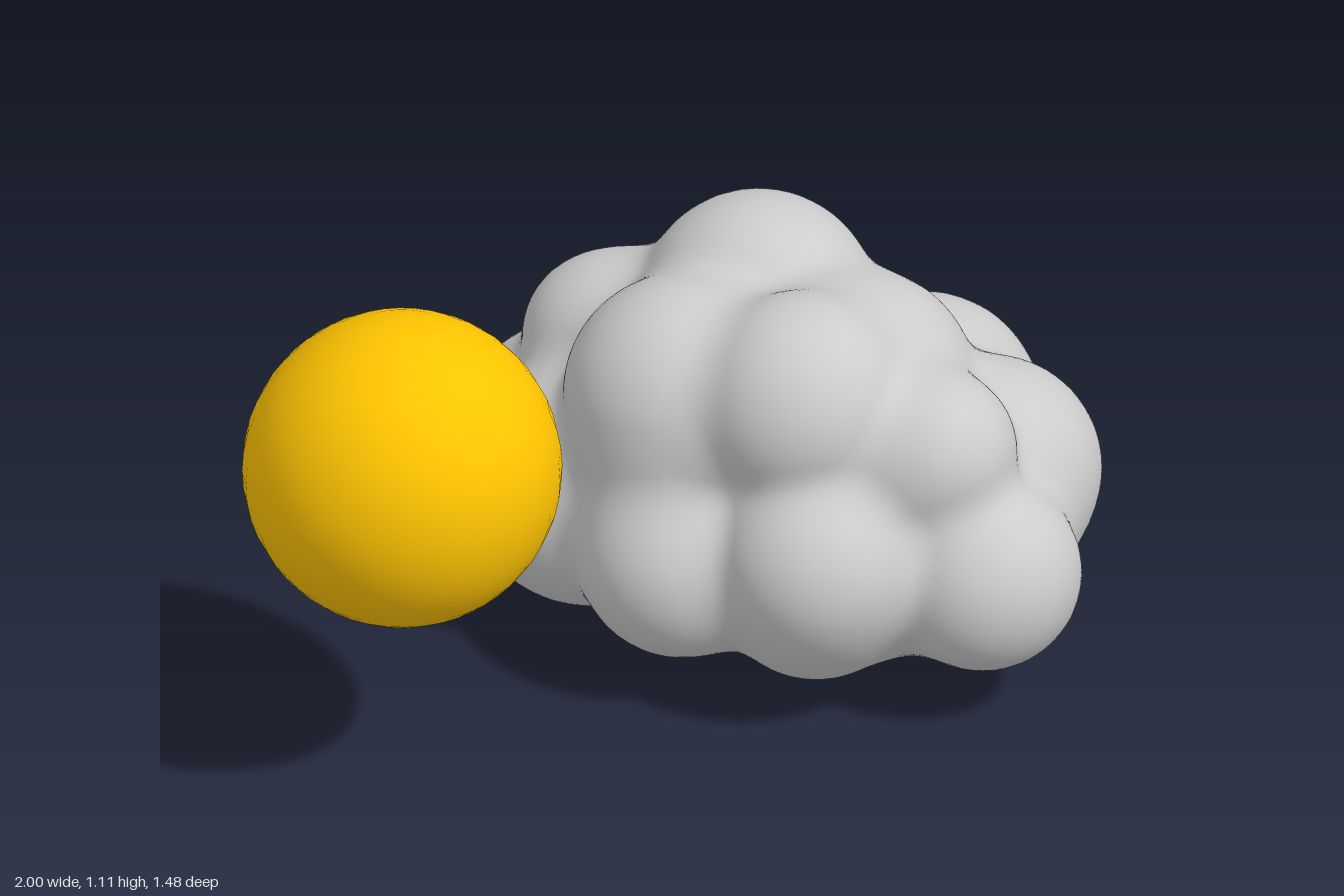
import * as THREE from 'three';

// Cloud puffs: x, y, z, radius
const PUFFS = [
  [0.40, 0.42, 0.00, 0.38],  // inner fill
  [0.47, 0.30, 0.31, 0.235],
  [0.74, 0.30, 0.15, 0.22],
  [0.42, 0.28, -0.28, 0.24],
  [0.30, 0.48, -0.31, 0.255],
  [0.42, 0.49, 0.28, 0.235],
  [0.14, 0.45, -0.03, 0.24],
  [0.62, 0.28, 0.05, 0.245],
  [0.62, 0.30, 0.29, 0.235],
  [0.26, 0.28, 0.28, 0.22],
  [0.56, 0.31, -0.28, 0.25],
  [0.12, 0.29, 0.00, 0.225],
  [0.43, 0.66, -0.17, 0.255], // crown
  [0.28, 0.67, 0.20, 0.235],
  [0.48, 0.59, 0.12, 0.255],
  [0.15, 0.61, -0.05, 0.255],
  [0.47, 0.58, 0.41, 0.18],
  [0.22, 0.54, -0.42, 0.185],
  [0.52, 0.32, 0.525, 0.21], // front
  [0.22, 0.37, 0.35, 0.215],
  [0.71, 0.39, 0.28, 0.24],  // left side
  [0.73, 0.40, -0.03, 0.22],
  [0.79, 0.385, -0.01, 0.205],
  [0.58, 0.38, -0.34, 0.26],
  [0.38, 0.32, -0.46, 0.24], // back
  [0.18, 0.29, -0.53, 0.21],
  [0.07, 0.31, -0.28, 0.27], // right side
  [0.05, 0.30, 0.08, 0.21],
  [0.50, 0.25, 0.05, 0.25],  // underside
  [0.23, 0.25, -0.13, 0.245],
];
const BLEND = 0.07;

// Signed distance to the softly merged puffs
function distance(p) {
  let d = Infinity;
  for (const [x, y, z, r] of PUFFS) {
    const s = Math.hypot(p.x - x, p.y - y, p.z - z) - r;
    if (d === Infinity) { d = s; continue; }
    const h = Math.max(BLEND - Math.abs(d - s), 0) / BLEND;
    d = Math.min(d, s) - h * h * BLEND * 0.25;
  }
  return d;
}

// Shrink a fine ball onto the merged surface, with normals from its gradient
function cloudGeometry() {
  const geo = new THREE.IcosahedronGeometry(1, 44);
  const pos = geo.attributes.position, nor = geo.attributes.normal;
  const centre = new THREE.Vector3(0.4, 0.4, 0);
  const dir = new THREE.Vector3(), p = new THREE.Vector3(), n = new THREE.Vector3(), q = new THREE.Vector3();
  const e = 0.004;
  for (let i = 0; i < pos.count; i++) {
    dir.fromBufferAttribute(pos, i).normalize();
    let t = 1.2;
    for (let step = 0; step < 50; step++) {
      p.copy(centre).addScaledVector(dir, t);
      const d = distance(p);
      if (d < 0.0005) break;
      t -= d;
    }
    for (const axis of ['x', 'y', 'z']) {
      q.copy(p)[axis] += e;
      const ahead = distance(q);
      q[axis] -= 2 * e;
      n[axis] = ahead - distance(q);
    }
    n.normalize();
    pos.setXYZ(i, p.x, p.y, p.z);
    nor.setXYZ(i, n.x, n.y, n.z);
  }
  return geo;
}

export function createModel() {
  const model = new THREE.Group();

  const cloud = new THREE.Mesh(cloudGeometry(), new THREE.MeshStandardMaterial({ color: 0xcccccc }));
  cloud.name = 'cloud';

  const sun = new THREE.Mesh(
    new THREE.SphereGeometry(0.34, 32, 24),
    new THREE.MeshStandardMaterial({ color: 0xffc400 })
  );
  sun.name = 'sun';
  sun.position.set(-0.66, 0.766, 0.06);

  model.add(cloud, sun);
  return model;
}
